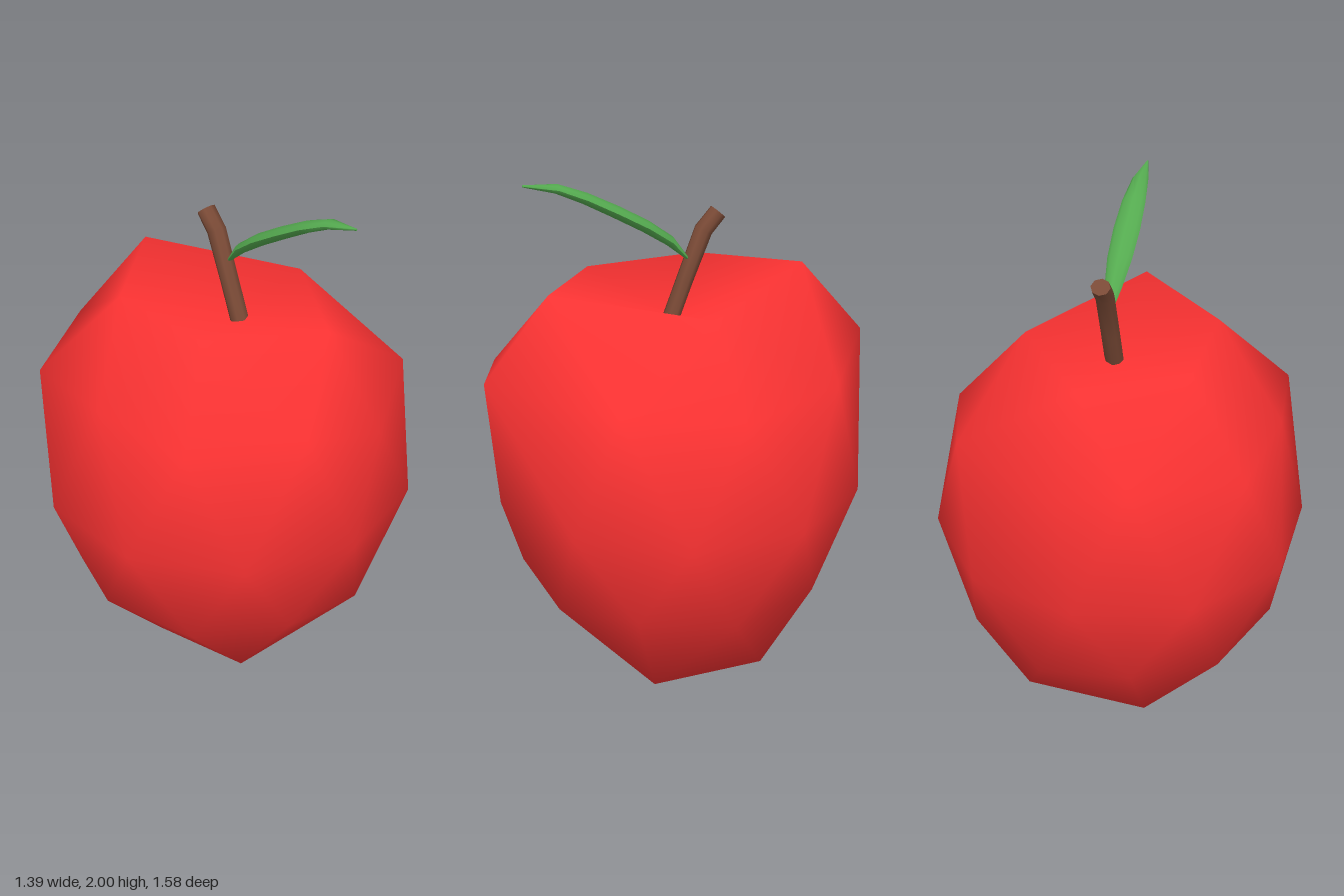
import * as THREE from 'three';
import { toCreasedNormals } from 'three/addons/utils/BufferGeometryUtils.js';

function buildGeometry(points, index) {
  const geo = new THREE.BufferGeometry();
  geo.setAttribute('position', new THREE.Float32BufferAttribute(points.flat(), 3));
  geo.setIndex(index);
  geo.computeVertexNormals();
  return geo;
}

// Completes a ring from its z >= 0 half; points on the z = 0 plane are not doubled
function mirrorRing(half) {
  const back = half.filter((p) => p[2] > 0).reverse().map(([x, y, z]) => [x, y, -z]);
  return [...half, ...back];
}

// Fruit body: rings of 5, 10, 10, 10 and 5 points between two poles
function fruitGeometry() {
  const top = mirrorRing([[0.38, 1.5, 0], [0.03, 1.56, 0.525], [-0.33, 1.53, 0.235]]);
  const upper = mirrorRing([
    [0.66, 1.19, 0], [0.52, 1.23, 0.44], [0.04, 1.25, 0.79],
    [-0.2, 1.25, 0.67], [-0.58, 1.22, 0.43], [-0.63, 1.25, 0],
  ]);
  const middle = [];
  for (let j = 0; j < 10; j++) {
    const a = (j + 0.5) * Math.PI / 5;
    middle.push([0.73 * Math.cos(a), 0.74, 0.73 * Math.sin(a)]);
  }
  const lower = mirrorRing([
    [0.59, 0.33, 0], [0.5, 0.38, 0.365], [0.18, 0.33, 0.565],
    [-0.19, 0.38, 0.585], [-0.48, 0.33, 0.35], [-0.62, 0.38, 0],
  ]);
  const bottom = mirrorRing([[0.33, 0, 0.23], [-0.17, 0, 0.28], [-0.35, 0.11, 0]]);

  const points = [[0.03, 1.4, 0], ...top, ...upper, ...middle, ...lower, ...bottom, [0, 0.05, 0]];
  const t = (k) => 1 + k % 5;
  const u = (j) => 6 + j % 10;
  const m = (j) => 16 + j % 10;
  const l = (j) => 26 + j % 10;
  const b = (k) => 36 + k % 5;
  const index = [];
  for (let k = 0; k < 5; k++) {
    const j = 2 * k;
    index.push(0, t(k + 1), t(k), t(k), t(k + 1), u(j + 1));
    index.push(t(k), u(j + 1), u(j), t(k + 1), u(j + 2), u(j + 1));
    index.push(l(j), l(j + 1), b(k), l(j + 1), l(j + 2), b(k));
    index.push(l(j + 2), b(k + 1), b(k), b(k), b(k + 1), 41);
  }
  for (let j = 0; j < 10; j++) {
    index.push(u(j), u(j + 1), m(j), u(j + 1), m(j + 1), m(j));
    index.push(m(j), l(j + 1), l(j), m(j), m(j + 1), l(j + 1));
  }
  return buildGeometry(points, index);
}

// Closed loft along a path in the yz plane; each section is [x, y, z, half width, half thickness]
function loftGeometry(sections, sides) {
  const points = [];
  const index = [];
  const last = sections.length - 1;
  sections.forEach(([x, y, z, w, h], i) => {
    const p = sections[Math.max(i - 1, 0)];
    const n = sections[Math.min(i + 1, last)];
    const len = Math.hypot(n[1] - p[1], n[2] - p[2]);
    const ty = (n[1] - p[1]) / len;
    const tz = (n[2] - p[2]) / len;
    for (let j = 0; j < sides; j++) {
      const a = j / sides * Math.PI * 2;
      const s = h * Math.sin(a);
      points.push([x + w * Math.cos(a), y + tz * s, z - ty * s]);
    }
  });
  const at = (i, j) => i * sides + j % sides;
  const start = points.push(sections[0].slice(0, 3)) - 1;
  const end = points.push(sections[last].slice(0, 3)) - 1;
  for (let j = 0; j < sides; j++) {
    for (let i = 0; i < last; i++) {
      index.push(at(i, j), at(i, j + 1), at(i + 1, j));
      index.push(at(i, j + 1), at(i + 1, j + 1), at(i + 1, j));
    }
    index.push(start, at(0, j + 1), at(0, j), end, at(last, j), at(last, j + 1));
  }
  return toCreasedNormals(buildGeometry(points, index), 1.1);
}

export function createModel() {
  const group = new THREE.Group();
  const add = (name, geometry, color) => {
    const mesh = new THREE.Mesh(geometry, new THREE.MeshStandardMaterial({ color }));
    mesh.name = name;
    group.add(mesh);
  };

  add('fruit', fruitGeometry(), 0xff3333);

  // Bent woody stem rising from the dimple
  add('stem', loftGeometry([
    [0.035, 1.38, 0.045, 0.038, 0.032],
    [0.035, 1.55, -0.022, 0.038, 0.032],
    [0.035, 1.74, -0.1, 0.038, 0.036],
    [0.035, 1.805, -0.16, 0.038, 0.034],
  ], 8), 0x7a4a36);

  // Slim arching leaf, pointed at both ends
  add('leaf', loftGeometry([
    [0.04, 1.64, -0.03, 0.012, 0.006],
    [0.04, 1.715, 0.04, 0.034, 0.02],
    [0.042, 1.785, 0.14, 0.048, 0.024],
    [0.045, 1.855, 0.26, 0.052, 0.024],
    [0.048, 1.92, 0.38, 0.046, 0.022],
    [0.05, 1.968, 0.49, 0.032, 0.018],
    [0.053, 1.992, 0.62, 0.003, 0.004],
  ], 8), 0x55ab50);

  return group;
}
